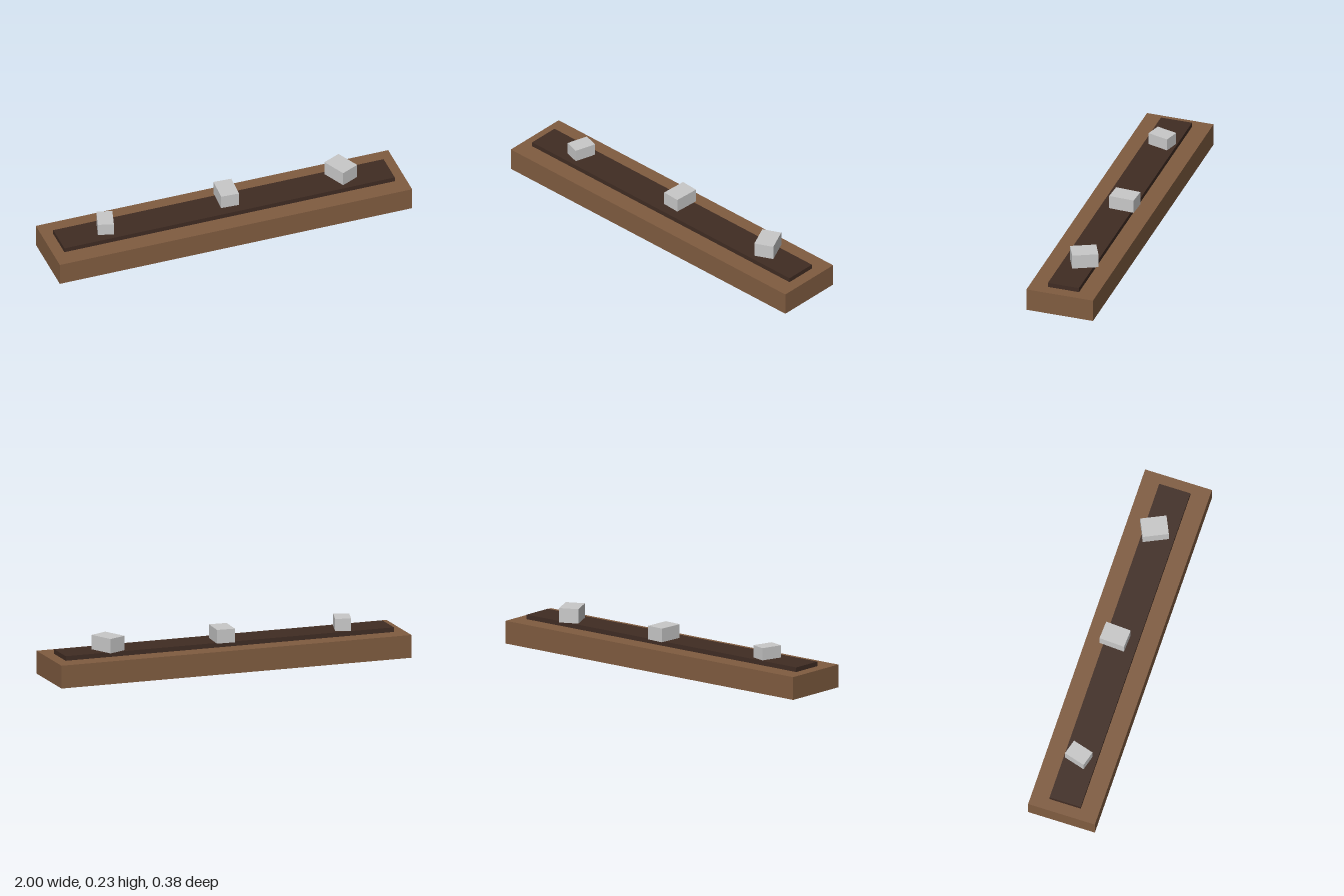
import * as THREE from 'three';

const wood = new THREE.MeshStandardMaterial({ name: 'wood brown', color: 0x805c40, side: THREE.DoubleSide });
const soil = new THREE.MeshStandardMaterial({ name: 'dark soil', color: 0x402c23, side: THREE.DoubleSide });
const stone = new THREE.MeshStandardMaterial({ name: 'pale grey', color: 0xc8c8c8 });

// Box standing on height y, optionally without its bottom face
function box(name, material, [w, h, d], [x, y, z], turn = 0, openBelow = false) {
  const geometry = new THREE.BoxGeometry(w, h, d);
  if (openBelow) {
    const index = Array.from(geometry.index.array);
    index.splice(18, 6); // the bottom face
    geometry.setIndex(index);
    geometry.clearGroups();
  }
  const mesh = new THREE.Mesh(geometry, material);
  mesh.name = name;
  mesh.position.set(x, y + h / 2, z);
  mesh.rotation.y = turn;
  return mesh;
}

export function createModel() {
  const model = new THREE.Group();
  model.name = 'slab with blocks';

  // Hollow base, open underneath, with a raised dark strip
  model.add(box('base', wood, [2, 0.125, 0.375], [0, 0, 0], 0, true));
  model.add(box('topStrip', soil, [1.875, 0.025, 0.175], [0, 0.125, 0], 0, true));

  // Three turned blocks resting on the strip
  const blocks = [
    ['leftBlock', [0.106, 0.079, 0.141], [0.673, 0.15, -0.027], 0.44],
    ['middleBlock', [0.1, 0.075, 0.14], [0.026, 0.15, -0.036], -0.05],
    ['rightBlock', [0.086, 0.067, 0.12], [-0.671, 0.15, -0.011], -0.28],
  ];
  for (const [name, size, position, turn] of blocks) {
    model.add(box(name, stone, size, position, turn));
  }
  return model;
}
